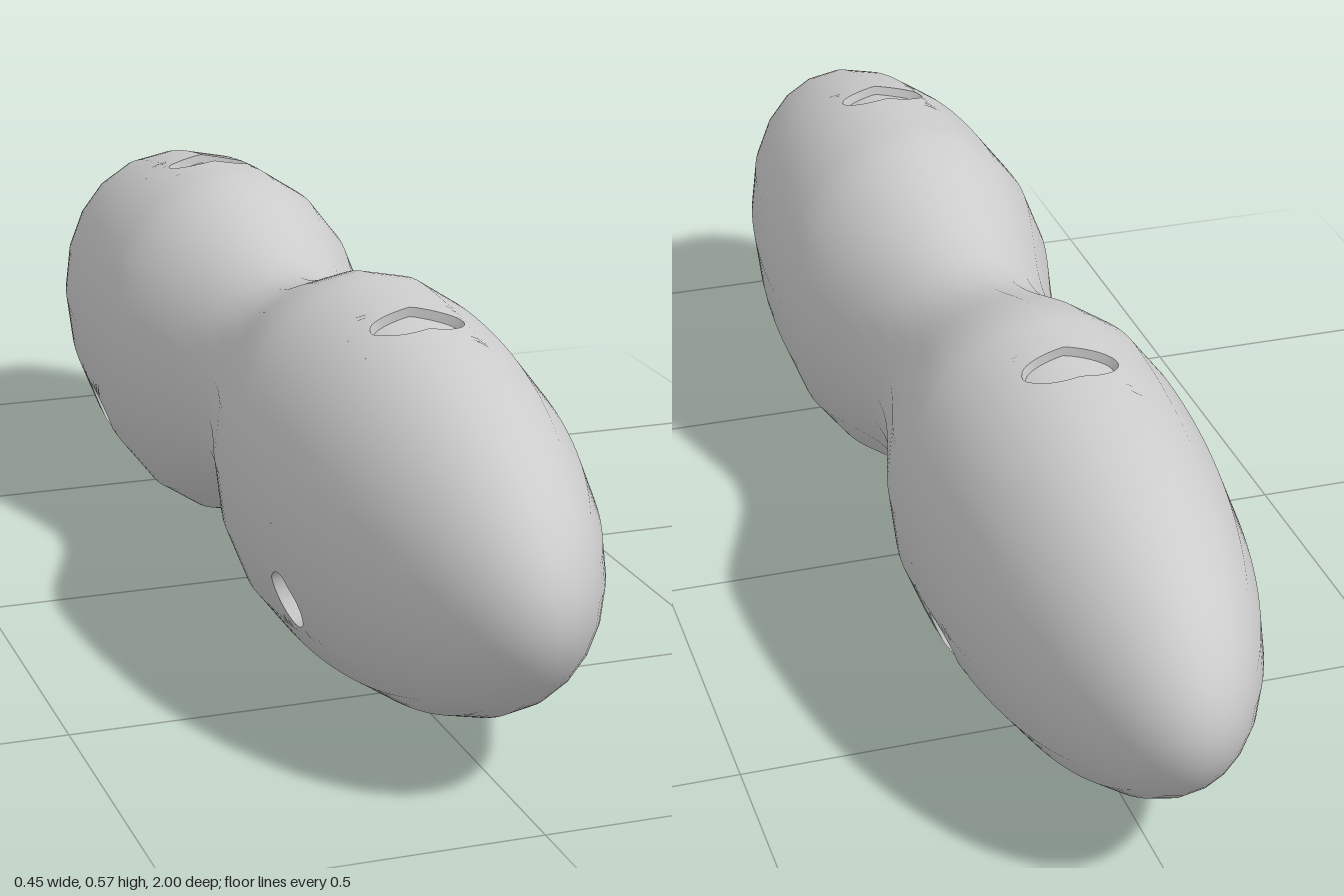
import * as THREE from 'three';

const RX = 0.223, RY = 0.287, CY = 0.289, SIDES = 20;
const STEP = (2 * Math.PI) / SIDES, DEG = Math.PI / 180;

// Size of the cross-section along the length: narrow waist, two rounded lobes
function scaleAt(z) {
  const d = Math.min(Math.abs(z), 1);
  if (d > 0.35) return Math.sqrt(Math.max(0, 1 - ((d - 0.35) / 0.65) ** 2));
  const t = d / 0.35;
  return 0.695 + 0.305 * t * t * (3 - 2 * t);
}

// Smooth outward normal of the elliptical body
function normalAt(a, z) {
  if (Math.abs(z) > 0.9999) return new THREE.Vector3(0, 0, Math.sign(z));
  const e = 0.0001, s = scaleAt(z);
  const slope = (scaleAt(z + e) - scaleAt(z - e)) / (2 * e);
  const da = new THREE.Vector3(-RX * Math.sin(a), RY * Math.cos(a), 0).multiplyScalar(s);
  const dz = new THREE.Vector3(RX * Math.cos(a) * slope, RY * Math.sin(a) * slope, 1);
  return da.cross(dz).normalize();
}

// Point on the 20-sided skin, sunk inwards by depth
function pointAt(a, z, depth = 0) {
  const k = Math.floor(a / STEP + 1e-6), t = a / STEP - k, s = scaleAt(z);
  const mix = (f) => f(k * STEP) * (1 - t) + f((k + 1) * STEP) * t;
  return new THREE.Vector3(RX * s * mix(Math.cos), CY + RY * s * mix(Math.sin), z)
    .addScaledVector(normalAt(a, z), -depth);
}

// Grid surface: at(i, j) gives [angle, z, depth]
function surface(ni, nj, at, { skip = () => false, smooth = true } = {}) {
  const pos = [], nor = [], idx = [];
  for (let i = 0; i <= ni; i++) {
    for (let j = 0; j <= nj; j++) {
      const [a, z, depth] = at(i, j);
      pos.push(...pointAt(a, z, depth).toArray());
      nor.push(...normalAt(a, z).toArray());
      if (i === ni || j === nj || skip(i, j)) continue;
      const p = i * (nj + 1) + j, q = p + nj + 1;
      idx.push(p, q, q + 1, p, q + 1, p + 1);
    }
  }
  const g = new THREE.BufferGeometry();
  g.setAttribute('position', new THREE.Float32BufferAttribute(pos, 3));
  g.setAttribute('normal', new THREE.Float32BufferAttribute(nor, 3));
  g.setIndex(idx);
  if (!smooth) g.computeVertexNormals();
  return g;
}

// Sockets: centre angle and z, half sizes, depth, and the window cut for them
const sockets = [];
for (const [z, z0, z1, leftAngle] of [[0.53, 0.46, 0.6, 205], [-0.465, -0.54, -0.4, 209]]) {
  const end = z > 0 ? 'front' : 'back';
  const tilt = z > 0 ? 1 : -1;
  sockets.push(
    { name: end + 'TopSocket', a: 90 + tilt, z, ha: 18.5, depth: 0.014, a0: 63, a1: 117, z0, z1 },
    { name: end + 'LeftSocket', a: 330, z, ha: 9.6, depth: 0.028, a0: 306, a1: 351, z0, z1 },
    { name: end + 'RightSocket', a: leftAngle, z, ha: 9.6, depth: 0.028, a0: 180, a1: 234, z0, z1 },
  );
}

export function createModel() {
  const group = new THREE.Group();
  const mat = new THREE.MeshStandardMaterial({ color: 0xcccccc });
  const add = (parent, name, geometry) => {
    const mesh = new THREE.Mesh(geometry, mat);
    mesh.name = name;
    parent.add(mesh);
  };

  // Body rings, closer together at the tips
  const tip = [0.955, 0.97, 0.98, 0.988, 0.994, 0.998, 1];
  const zs = tip.map((z) => -z).reverse();
  for (let i = -47; i <= 47; i++) zs.push(i * 0.02);
  zs.push(...tip);
  const inWindow = (i, j) => {
    const a = (i + 0.5) * 9, z = (zs[j] + zs[j + 1]) / 2;
    return sockets.some((s) => a > s.a0 && a < s.a1 && z > s.z0 && z < s.z1);
  };
  add(group, 'body', surface(40, zs.length - 1, (i, j) => [i * 9 * DEG, zs[j], 0], { skip: inWindow }));

  // Sunken sockets with the skin around each one
  const N = 48, HZ = 0.038;
  for (const s of sockets) {
    const socket = new THREE.Group();
    socket.name = s.name;
    group.add(socket);
    // Walk counter-clockwise round the window's edge
    const corners = [[s.a0, s.z0], [s.a1, s.z0], [s.a1, s.z1], [s.a0, s.z1]];
    const edge = (u) => {
      const k = Math.floor((u % N) / 12), t = (u % 12) / 12;
      const p = corners[k], q = corners[(k + 1) % 4];
      return [p[0] + (q[0] - p[0]) * t, p[1] + (q[1] - p[1]) * t];
    };
    const rim = (u, r = 1) => {
      const [a, z] = edge(u);
      const t = Math.atan2((z - s.z) / HZ, (a - s.a) / s.ha);
      return [s.a + s.ha * r * Math.cos(t), s.z + HZ * r * Math.sin(t)];
    };
    add(socket, 'surround', surface(5, N, (v, u) => {
      const p = rim(u), q = edge(u), t = v / 5;
      return [(p[0] + (q[0] - p[0]) * t) * DEG, p[1] + (q[1] - p[1]) * t, 0];
    }));
    add(socket, 'wall', surface(N, 1, (u, w) => {
      const p = rim(u);
      return [p[0] * DEG, p[1], w * s.depth];
    }, { smooth: false }));
    add(socket, 'floor', surface(4, N, (v, u) => {
      const p = rim(u, v / 4);
      return [p[0] * DEG, p[1], s.depth];
    }));
  }
  return group;
}
